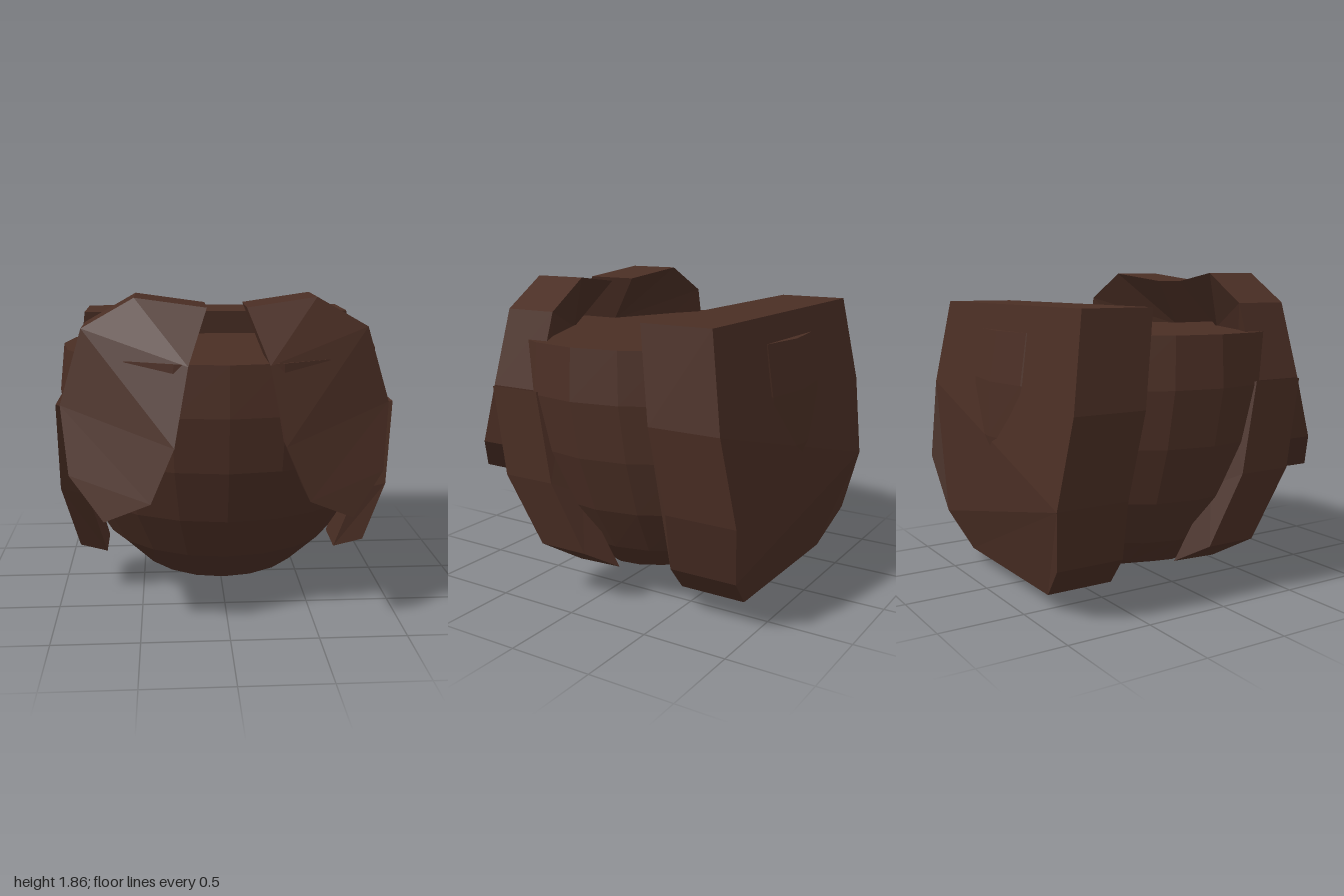
import * as THREE from 'three';

const brown = new THREE.MeshStandardMaterial({ color: 0x4a2e24 });
brown.name = 'dark brown';

// Faceted mesh from a list of corner points, three per triangle
function facetMesh(name, corners) {
  const geometry = new THREE.BufferGeometry();
  geometry.setAttribute('position', new THREE.Float32BufferAttribute(corners.flat(), 3));
  geometry.computeVertexNormals();
  const mesh = new THREE.Mesh(geometry, brown);
  mesh.name = name;
  return mesh;
}

// Thick plate between an outer outline (counter-clockwise from outside) and an inner outline
function plate(name, outer, inner, caps, mirror = false) {
  const tris = [];
  for (const [a, b, c] of caps) {
    tris.push([outer[a], outer[b], outer[c]], [inner[a], inner[c], inner[b]]);
  }
  outer.forEach((p, i) => {
    const j = (i + 1) % outer.length;
    tris.push([p, inner[i], inner[j]], [p, inner[j], outer[j]]);
  });
  const corners = tris.flatMap(([a, b, c]) => (mirror
    ? [a, c, b].map(([x, y, z]) => [-x, y, z])
    : [a, b, c]));
  return facetMesh(name, corners);
}

// Rounded bowl with a flat top, made of tilted elliptical rings
function makeBody() {
  const sides = 20;
  // front y, back y, half width, front z, back z
  const rings = [
    [0, 0, 0, -0.2, -0.2],
    [0.1, 0.24, 0.54, 0.33, -0.66],
    [0.32, 0.36, 0.73, 0.55, -0.8],
    [0.6, 0.61, 0.88, 0.73, -0.92],
    [0.92, 0.92, 0.97, 0.85, -0.965],
    [1.24, 1.24, 1.0, 0.9, -0.95],
    [1.53, 1.53, 0.965, 0.88, -0.9],
    [1.53, 1.53, 0, 0, 0],
  ];
  const point = ([yf, yb, w, zf, zb], i) => {
    const a = (i / sides) * Math.PI * 2;
    const t = (1 + Math.cos(a)) / 2;
    return [w * Math.sin(a), yb + (yf - yb) * t, zb + (zf - zb) * t];
  };
  const corners = [];
  for (let r = 0; r < rings.length - 1; r++) {
    for (let i = 0; i < sides; i++) {
      const a = point(rings[r], i), b = point(rings[r], i + 1);
      const c = point(rings[r + 1], i + 1), d = point(rings[r + 1], i);
      if (r > 0) corners.push(a, b, c);
      if (r === 0) corners.push(a, c, d);
      else if (r < rings.length - 2) corners.push(a, c, d);
    }
  }
  return facetMesh('body', corners);
}

// Tall curved slab across the back
function makeBackPlate() {
  // half width, y, back z, front z
  const half = [
    [0.87, 1.68, -0.83, -0.4],
    [0.94, 1.15, -0.92, -0.49],
    [0.88, 0.66, -0.99, -0.56],
    [0.76, 0.3, -0.93, -0.52],
    [0.52, 0.09, -0.86, -0.45],
  ];
  const outline = (k) => [
    ...half.map((p) => [p[0], p[1], p[k]]),
    ...[...half].reverse().map((p) => [-p[0], p[1], p[k]]),
  ];
  const caps = [[1, 2, 3], [7, 1, 3], [7, 3, 4], [7, 4, 5], [7, 5, 6], [7, 8, 9], [7, 9, 0], [7, 0, 1]];
  return plate('backPlate', outline(2), outline(3), caps);
}

// Petal-shaped plate leaning over the front
function makeFrontPlate(mirror) {
  const face = [
    [0.11, 1.81, 0.64], [0.22, 1.52, 0.86], [0.3, 1.1, 0.97], [0.43, 0.8, 0.99], [0.69, 0.67, 0.89],
    [0.89, 0.89, 0.72], [0.94, 1.26, 0.57], [0.81, 1.69, 0.55], [0.51, 1.86, 0.57],
  ];
  const back = face.map(([x, y, z]) => [x, y, z - 0.32]);
  const caps = [[0, 1, 8], [1, 7, 8], [1, 2, 7], [2, 6, 7], [2, 3, 6], [3, 5, 6], [3, 4, 5]];
  return plate(mirror ? 'rightFrontPlate' : 'leftFrontPlate', face, back, caps, mirror);
}

// Bent strap hugging the side of the bowl
function makeSideStrap(mirror) {
  const outer = [
    [0.965, 1.26, 0.56], [0.965, 0.74, 0.48], [0.88, 0.32, 0.3],
    [0.88, 0.32, -0.01], [0.965, 0.74, 0.15], [0.965, 1.26, 0.24],
  ];
  const inner = [
    [0.82, 1.22, 0.46], [0.82, 0.66, 0.36], [0.73, 0.21, 0.13],
    [0.73, 0.22, -0.15], [0.82, 0.66, 0.04], [0.82, 1.22, 0.15],
  ];
  const caps = [[0, 1, 4], [0, 4, 5], [1, 2, 3], [1, 3, 4]];
  return plate(mirror ? 'rightSideStrap' : 'leftSideStrap', outer, inner, caps, mirror);
}

export function createModel() {
  const model = new THREE.Group();
  model.name = 'platedBowl';
  model.add(makeBody(), makeBackPlate());
  for (const mirror of [false, true]) {
    model.add(makeFrontPlate(mirror), makeSideStrap(mirror));
  }
  return model;
}
